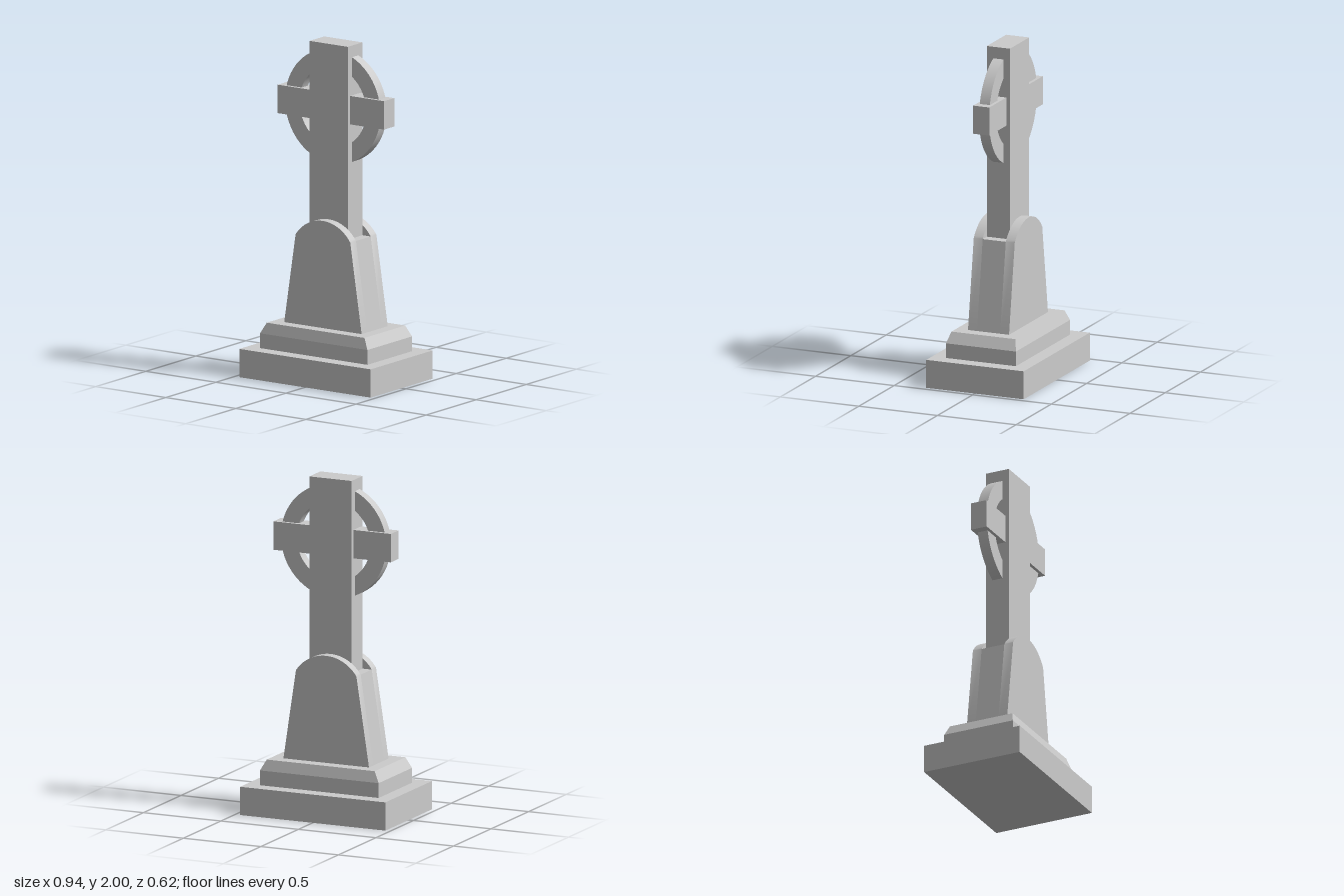
import * as THREE from 'three';
import { toCreasedNormals } from 'three/addons/utils/BufferGeometryUtils.js';

const stone = new THREE.MeshStandardMaterial({ color: 0xcccccc });

export function createModel() {
  const group = new THREE.Group();

  const add = (name, geometry) => {
    const mesh = new THREE.Mesh(geometry, stone);
    mesh.name = name;
    group.add(mesh);
  };

  // Box given by half width, bottom, top and half depth
  const block = (hx, y0, y1, hz) =>
    new THREE.BoxGeometry(2 * hx, y1 - y0, 2 * hz).translate(0, (y0 + y1) / 2, 0);

  // Shape extruded from z0 to z1, smooth along curves and sharp at corners
  const slab = (shape, z0, z1, curveSegments = 16) =>
    toCreasedNormals(
      new THREE.ExtrudeGeometry(shape, { depth: z1 - z0, bevelEnabled: false, curveSegments }).translate(0, 0, z0),
      0.5
    );

  // Stepped base
  add('base', block(0.4685, 0, 0.168, 0.31));
  add('plinth', block(0.383, 0.168, 0.256, 0.2225));

  // Chamfer: a box with its top corners drawn in
  const chamfer = block(0.383, 0.256, 0.32, 0.2225);
  const p = chamfer.attributes.position;
  for (let i = 0; i < p.count; i++) {
    if (p.getY(i) > 0.3) p.setXYZ(i, Math.sign(p.getX(i)) * 0.3485, 0.32, Math.sign(p.getZ(i)) * 0.2035);
  }
  chamfer.computeVertexNormals();
  add('plinthChamfer', chamfer);

  // Tapered pedestal: flat-topped core between two arched faces
  const bottomY = 0.32, shoulderY = 0.853, topY = 0.957;
  const footX = 0.276, shoulderX = 0.195;
  const taper = () => {
    const s = new THREE.Shape();
    s.moveTo(-footX, bottomY);
    s.lineTo(footX, bottomY);
    s.lineTo(shoulderX, shoulderY);
    return s;
  };
  const core = taper();
  core.lineTo(-shoulderX, shoulderY);
  core.closePath();

  const rise = topY - shoulderY;
  const radius = (shoulderX ** 2 + rise ** 2) / (2 * rise);
  const a = Math.asin(shoulderX / radius);
  const arched = taper();
  arched.absarc(0, topY - radius, radius, Math.PI / 2 - a, Math.PI / 2 + a, false);
  arched.closePath();

  const shaftZ = 0.0735, pedestalZ = 0.1305;
  add('pedestalCore', slab(core, -shaftZ, shaftZ));
  add('pedestalFront', slab(arched, shaftZ, pedestalZ));
  add('pedestalBack', slab(arched, -pedestalZ, -shaftZ));

  // Cross
  add('shaft', block(0.1365, shoulderY, 2, shaftZ));
  add('crossArm', block(0.379, 1.535, 1.704, 0.0515));

  // Ring around the crossing
  const ring = new THREE.Shape().absarc(0, 0, 0.34, 0, Math.PI * 2, false);
  ring.holes.push(new THREE.Path().absarc(0, 0, 0.238, 0, Math.PI * 2, true));
  add('ring', slab(ring, -0.032, 0.032, 32).translate(0, 1.6195, 0));

  return group;
}
